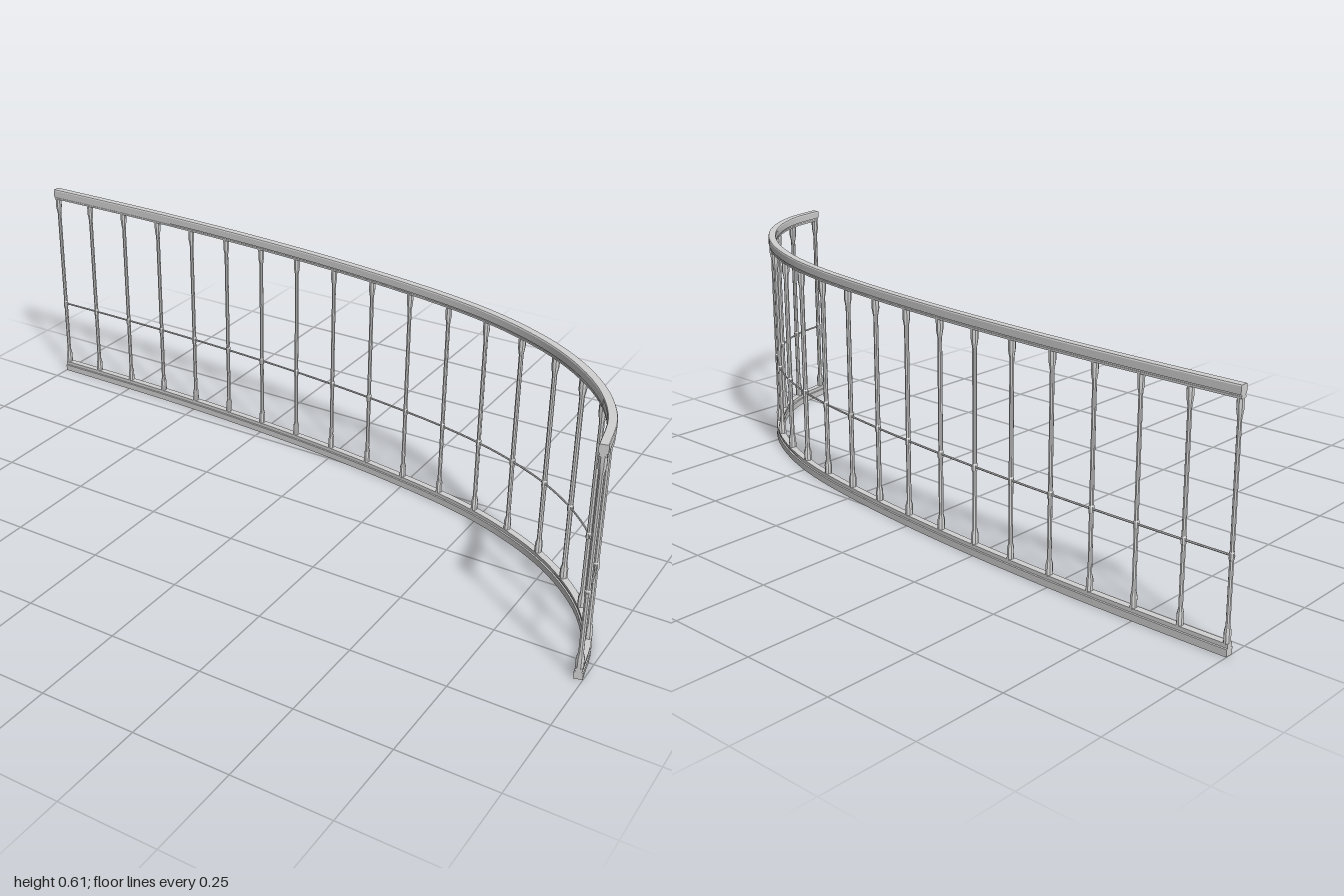
import * as THREE from 'three';
import { mergeVertices, toCreasedNormals } from 'three/addons/utils/BufferGeometryUtils.js';

// Plan of the railing centreline as [x, z], one point per post
const PLAN = [
  [-1, -0.309], [-0.872, -0.309], [-0.746, -0.308], [-0.62, -0.306], [-0.497, -0.302],
  [-0.372, -0.296], [-0.249, -0.288], [-0.126, -0.278], [0, -0.265], [0.126, -0.249],
  [0.249, -0.23], [0.372, -0.207], [0.492, -0.176], [0.607, -0.133], [0.719, -0.075],
  [0.818, -0.001], [0.902, 0.09], [0.962, 0.2], [0.989, 0.32],
];
const SEGMENTS = 72;

// Sweep a closed (side, height) section along the curve, with crisp long edges and capped ends
function sweep(curve, section) {
  const pos = [];
  const index = [];
  const point = (i, [u, v]) => {
    const p = curve.getPointAt(i / SEGMENTS);
    const t = curve.getTangentAt(i / SEGMENTS);
    pos.push(p.x - t.z * u, v, p.z + t.x * u);
  };
  section.forEach((a, j) => {
    const b = section[(j + 1) % section.length];
    const base = pos.length / 3;
    for (let i = 0; i <= SEGMENTS; i++) {
      point(i, a);
      point(i, b);
      if (i === SEGMENTS) break;
      const k = base + i * 2;
      index.push(k, k + 2, k + 1, k + 1, k + 2, k + 3);
    }
  });
  const faces = THREE.ShapeUtils.triangulateShape(section.map(([u, v]) => new THREE.Vector2(u, v)), []);
  for (const end of [0, SEGMENTS]) {
    const base = pos.length / 3;
    section.forEach((s) => point(end, s));
    for (const [a, b, c] of faces) {
      index.push(base + a, base + (end ? c : b), base + (end ? b : c));
    }
  }
  const geometry = new THREE.BufferGeometry();
  geometry.setAttribute('position', new THREE.Float32BufferAttribute(pos, 3));
  geometry.setIndex(index);
  geometry.computeVertexNormals();
  return geometry;
}

// Mirror a right-hand half profile, listed bottom to top, into a closed section
const mirrored = (half) => [...half, ...half.map(([u, v]) => [-u, v]).reverse()];

// Slim eight-sided post, flared at both ends, with a collar at the wire
function postGeometry() {
  const profile = [
    [0.0105, 0.028], [0.0105, 0.056], [0.0066, 0.07],
    [0.0066, 0.219], [0.0084, 0.222], [0.0084, 0.236], [0.0066, 0.239],
    [0.0066, 0.53], [0.0105, 0.55], [0.0105, 0.577],
  ].map(([r, y]) => new THREE.Vector2(r, y));
  const lathe = new THREE.LatheGeometry(profile, 8, Math.PI / 8);
  lathe.deleteAttribute('uv');
  lathe.deleteAttribute('normal');
  lathe.scale(0.72, 1, 1);
  return toCreasedNormals(mergeVertices(lathe), 0.35);
}

export function createModel() {
  const model = new THREE.Group();
  model.name = 'curvedRailing';
  const metal = new THREE.MeshStandardMaterial({ color: 0xd2d2d2 });
  metal.name = 'grey metal';

  const curve = new THREE.CatmullRomCurve3(PLAN.map(([x, z]) => new THREE.Vector3(x, 0, z)));
  const add = (name, geometry) => {
    const mesh = new THREE.Mesh(geometry, metal);
    mesh.name = name;
    model.add(mesh);
    return mesh;
  };

  // Rails: wide body, groove, and a narrower lip facing the posts
  add('bottomRail', sweep(curve, mirrored([
    [0.011, 0], [0.011, 0.018], [0.0075, 0.019], [0.0075, 0.023], [0.009, 0.023], [0.009, 0.03],
  ])));
  add('topRail', sweep(curve, mirrored([
    [0.009, 0.575], [0.009, 0.58], [0.0075, 0.58], [0.0075, 0.583],
    [0.011, 0.584], [0.011, 0.602], [0.0095, 0.605],
  ])));

  // Thin wire threaded through the post collars
  const wire = [];
  for (let i = 0; i < 6; i++) {
    const a = (i / 6) * Math.PI * 2;
    wire.push([0.0026 * Math.cos(a), 0.23 + 0.0026 * Math.sin(a)]);
  }
  add('middleWire', sweep(curve, wire));

  // One post per plan point, turned to follow the curve; end posts sit just inside the rail ends
  const geometry = postGeometry();
  const inset = 0.003;
  PLAN.forEach((_, i) => {
    const s = THREE.MathUtils.clamp(i / (PLAN.length - 1), inset, 1 - inset);
    const tangent = curve.getTangent(s);
    const post = add('post', geometry);
    post.position.copy(curve.getPoint(s));
    post.rotation.y = Math.atan2(-tangent.z, tangent.x);
  });
  return model;
}
